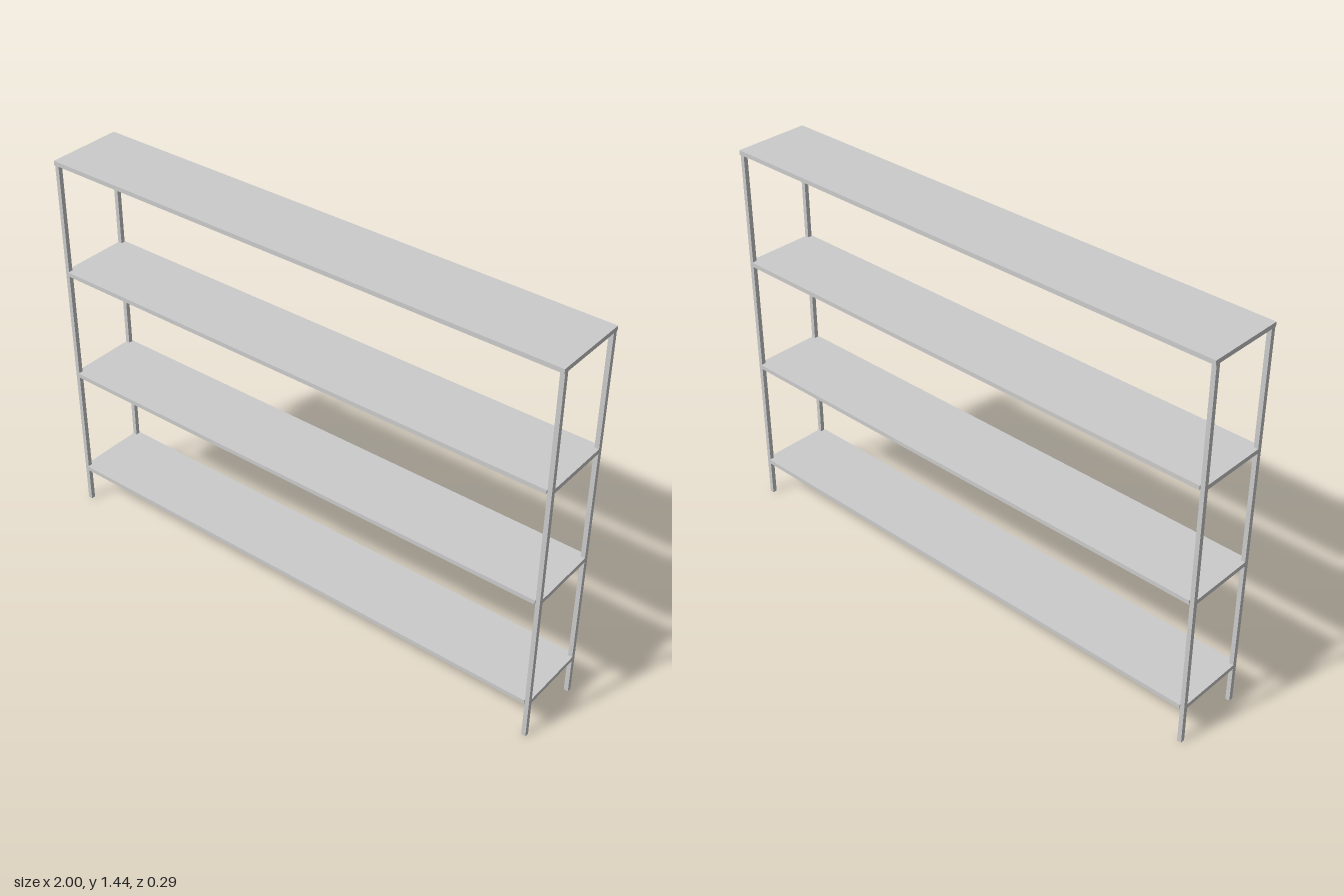
import * as THREE from 'three';

const WIDTH = 2, DEPTH = 0.286, HEIGHT = 1.44, TUBE = 0.016;

export function createModel() {
  const group = new THREE.Group();
  const material = new THREE.MeshStandardMaterial({ color: 0xcccccc });

  function box(name, w, h, d, x, y, z, parent = group) {
    const mesh = new THREE.Mesh(new THREE.BoxGeometry(w, h, d), material);
    mesh.name = name;
    mesh.position.set(x, y, z);
    parent.add(mesh);
  }

  const postX = WIDTH / 2 - TUBE / 2;
  const postZ = 0.131;

  // Four upright posts, ending under the top shelf
  const postHeight = HEIGHT - TUBE;
  for (const [side, sx] of [['left', 1], ['right', -1]]) {
    for (const [end, sz] of [['Front', 1], ['Back', -1]]) {
      box(`${side}${end}Post`, TUBE, postHeight, TUBE, sx * postX, postHeight / 2, sz * postZ);
    }
  }

  // Four evenly spaced shelves
  const bottomY = 0.149, topY = HEIGHT - TUBE / 2;
  for (let i = 0; i < 4; i++) {
    const shelf = new THREE.Group();
    shelf.name = `shelf${i + 1}`;
    shelf.position.y = THREE.MathUtils.lerp(bottomY, topY, i / 3);
    group.add(shelf);

    // The top board covers the posts, the lower boards sit between them
    const isTop = i === 3;
    box('board', isTop ? WIDTH : WIDTH - 2 * TUBE, TUBE, DEPTH, 0, 0, 0, shelf);
    if (isTop) continue;

    // Cross rails joining the front and back posts
    for (const [side, sx] of [['left', 1], ['right', -1]]) {
      box(`${side}Rail`, TUBE, TUBE, 2 * postZ + TUBE, sx * postX, 0, 0, shelf);
    }
  }
  return group;
}
